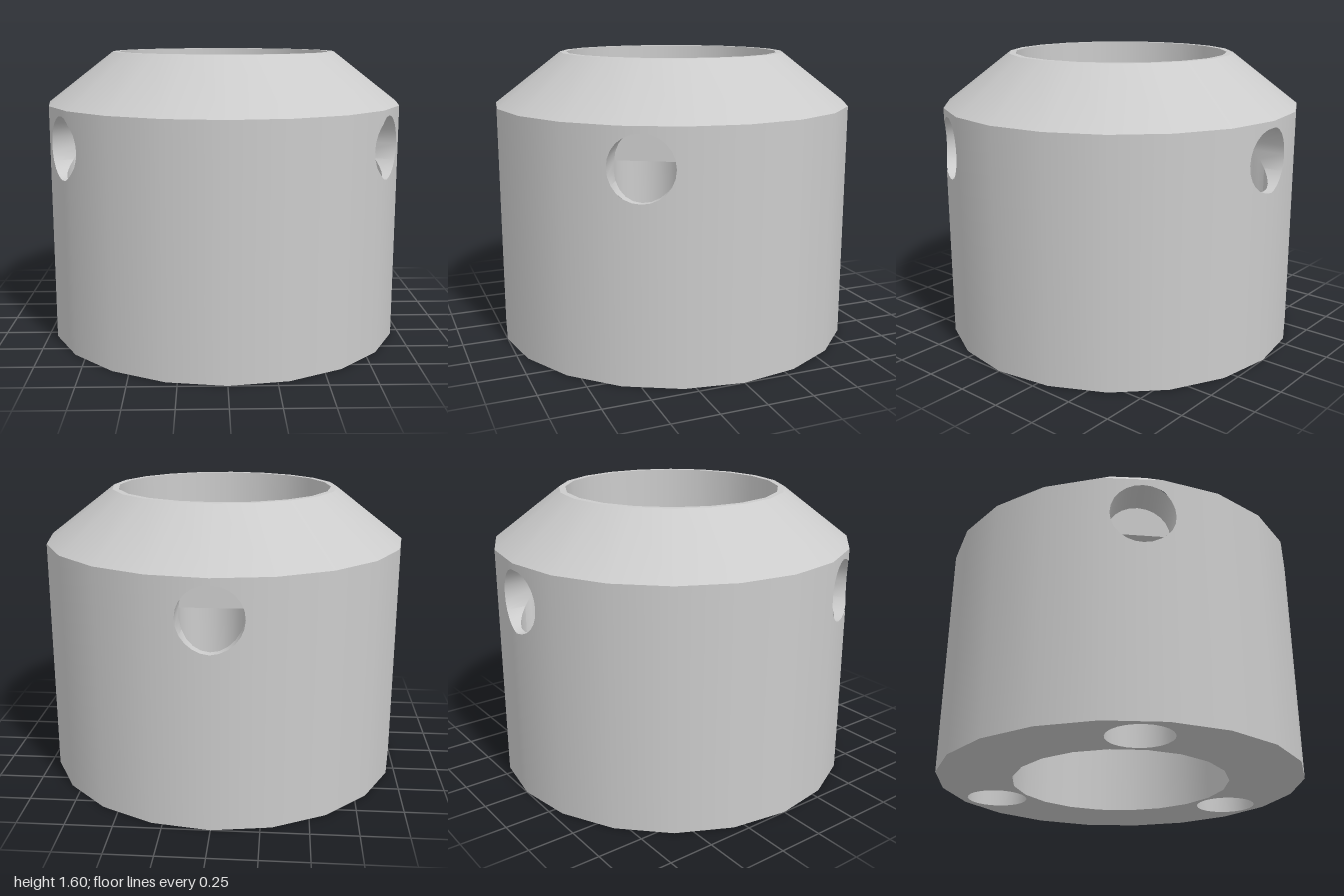
import * as THREE from 'three';
import { toCreasedNormals } from 'three/addons/utils/BufferGeometryUtils.js';

const SIDES = 20, STEP = (Math.PI * 2) / SIDES;
const WALL_H = 1.31, TOP = 1.595, TOP_R = 0.63, BORE_R = 0.595;
const PORT_R = 0.17, PORT_Y = 1.105, PORT_AXIS = 0.785, PORT_SEG = 24;
const PORT_ANGLES = [30, 150, 270].map(THREE.MathUtils.degToRad);

// Distance from the axis to the 20-sided outer wall at an angle
function wallRadius(t) {
  const local = ((t % STEP) + STEP) % STEP;
  return Math.cos(STEP / 2) / Math.cos(local - STEP / 2);
}

// Angle on the wall at sideways distance u from the middle of a port
function wallAngle(centre, u) {
  let t = centre;
  for (let i = 0; i < 12; i++) t = centre + Math.asin(u / wallRadius(t));
  return t;
}

// Half height of the port opening at a wall angle
function openingAt(t) {
  for (const c of PORT_ANGLES) {
    const u = wallRadius(t) * Math.sin(t - c);
    if (Math.cos(t - c) > 0 && Math.abs(u) < PORT_R) return Math.sqrt(PORT_R ** 2 - u ** 2);
  }
  return 0;
}

// Outer wall: vertical columns split above and below each round opening
function wallGeometry() {
  let angles = [];
  for (let i = 0; i <= SIDES; i++) angles.push(i * STEP);
  for (const c of PORT_ANGLES) {
    for (let i = 0; i <= PORT_SEG / 2; i++) {
      angles.push(wallAngle(c, PORT_R * Math.cos((i * 2 * Math.PI) / PORT_SEG)));
    }
  }
  angles.sort((a, b) => a - b);
  angles = angles.filter((t, i) => i === 0 || t - angles[i - 1] > 1e-5);
  const pos = [], nor = [];
  const vert = (t, y) => {
    const r = wallRadius(t);
    pos.push(r * Math.cos(t), y, r * Math.sin(t));
    nor.push(Math.cos(t), 0, Math.sin(t));
  };
  const quad = (a, b, a0, a1, b0, b1) => {
    vert(a, a0); vert(a, a1); vert(b, b1);
    vert(a, a0); vert(b, b1); vert(b, b0);
  };
  for (let i = 0; i < angles.length - 1; i++) {
    const a = angles[i], b = angles[i + 1];
    const ha = openingAt(a), hb = openingAt(b);
    quad(a, b, 0, PORT_Y - ha, 0, PORT_Y - hb);
    quad(a, b, PORT_Y + ha, WALL_H, PORT_Y + hb, WALL_H);
  }
  const g = new THREE.BufferGeometry();
  g.setAttribute('position', new THREE.Float32BufferAttribute(pos, 3));
  g.setAttribute('normal', new THREE.Float32BufferAttribute(nor, 3));
  return g;
}

// Channel: sideways bore from the wall meeting an upright bore from the base
function channelGeometry(centre) {
  const pos = [], index = [], rings = 5;
  const cos = Math.cos(centre), sin = Math.sin(centre);
  for (let i = 0; i <= PORT_SEG; i++) {
    const a = (i * 2 * Math.PI) / PORT_SEG;
    const u = PORT_R * Math.cos(a), v = PORT_R * Math.sin(a);
    const t = wallAngle(centre, u);
    const low = Math.min(v, 0);
    const path = [
      [wallRadius(t) * Math.cos(t - centre), PORT_Y + v],
      [PORT_AXIS - low, PORT_Y + v],
      [PORT_AXIS - low, PORT_Y + low],
      [PORT_AXIS - v, PORT_Y + low],
      [PORT_AXIS - v, 0],
    ];
    for (const [r, y] of path) pos.push(r * cos - u * sin, y, r * sin + u * cos);
    if (i === PORT_SEG) break;
    for (let k = 0; k < rings - 1; k++) {
      const p = i * rings + k, q = p + rings;
      index.push(p, p + 1, q + 1, p, q + 1, q);
    }
  }
  const g = new THREE.BufferGeometry();
  g.setAttribute('position', new THREE.Float32BufferAttribute(pos, 3));
  g.setIndex(index);
  return toCreasedNormals(g, 0.6);
}

// Base face with the main bore and the three channel mouths cut out
function baseGeometry() {
  const ring = (r, n, cx = 0, cy = 0, start = 0) => Array.from({ length: n }, (_, i) => {
    const t = start + (i * 2 * Math.PI) / n;
    return new THREE.Vector2(cx + r * Math.cos(t), cy + r * Math.sin(t));
  });
  const shape = new THREE.Shape(ring(1, SIDES));
  shape.holes.push(new THREE.Path(ring(BORE_R, SIDES)));
  for (const c of PORT_ANGLES) {
    const x = PORT_AXIS * Math.cos(c), z = PORT_AXIS * Math.sin(c);
    shape.holes.push(new THREE.Path(ring(PORT_R, PORT_SEG, x, z, c)));
  }
  return new THREE.ShapeGeometry(shape).rotateX(Math.PI / 2);
}

export function createModel() {
  const group = new THREE.Group();
  group.name = 'collar';
  const grey = new THREE.MeshStandardMaterial({ color: 0xcccccc });
  const inner = new THREE.MeshStandardMaterial({ color: 0xcccccc, side: THREE.DoubleSide });
  const add = (name, geometry, material = grey) => {
    const mesh = new THREE.Mesh(geometry, material);
    mesh.name = name;
    group.add(mesh);
  };
  const band = (r0, y0, r1, y1) => new THREE.LatheGeometry(
    [new THREE.Vector2(r0, y0), new THREE.Vector2(r1, y1)], SIDES);

  add('outerWall', wallGeometry());
  add('slopedShoulder', band(1, WALL_H, TOP_R, TOP));
  add('topRim', band(TOP_R, TOP, BORE_R, TOP));
  add('mainBore', band(BORE_R, TOP, BORE_R, 0));
  add('baseFace', baseGeometry());
  PORT_ANGLES.forEach((c, i) => add(`channel${i + 1}`, channelGeometry(c), inner));
  return group;
}
